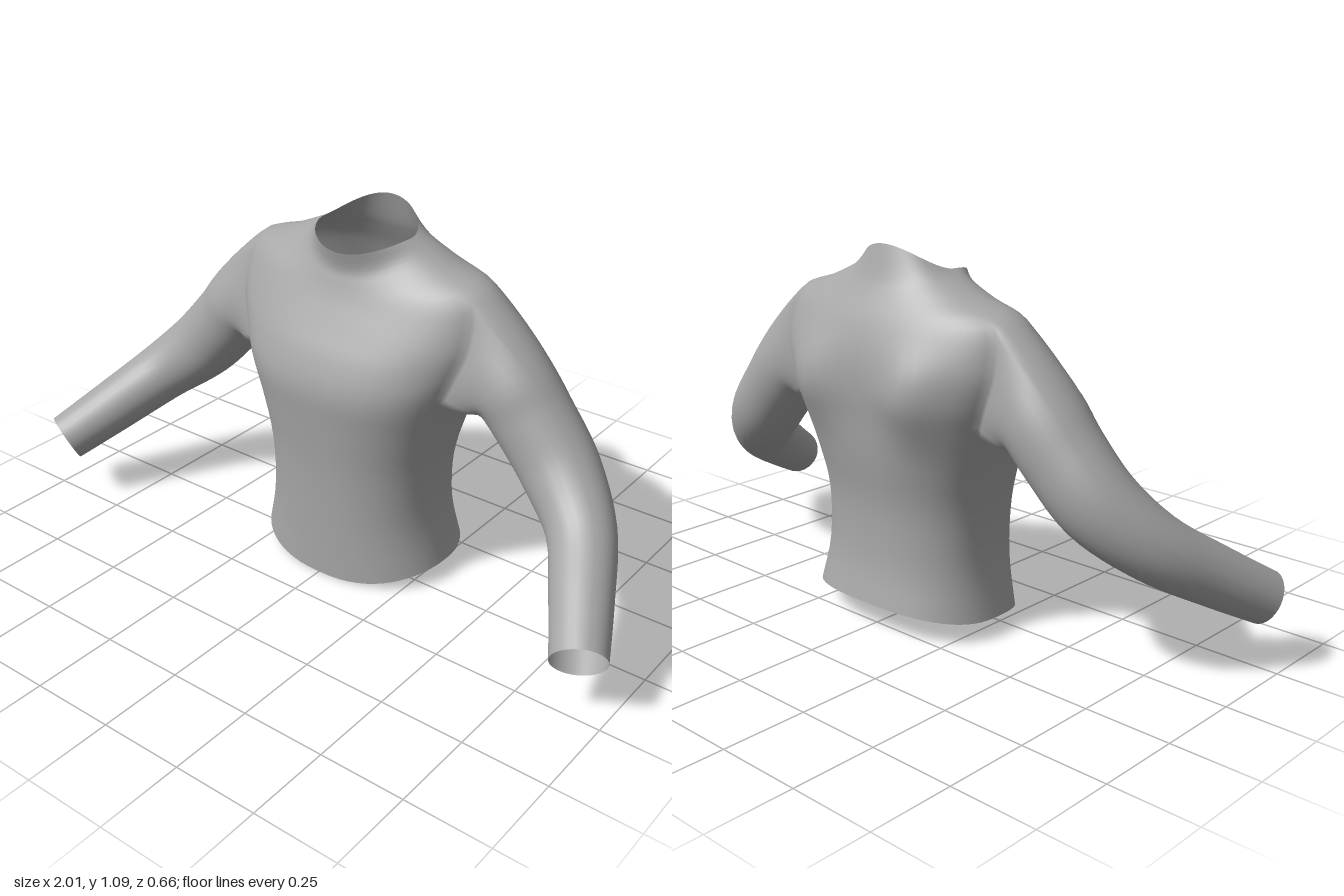
import * as THREE from 'three';

// Torso rings, hem to collar: y front, y side, y back, half width, z front, z side, z back, roundness
const RINGS = [
  [0.0, 0.055, 0.085, 0.305, 0.14, -0.08, -0.31, 0.85],
  [0.18, 0.2, 0.2, 0.276, 0.14, -0.08, -0.285, 0.85],
  [0.36, 0.36, 0.36, 0.28, 0.145, -0.08, -0.28, 0.85],
  [0.5, 0.5, 0.5, 0.312, 0.157, -0.09, -0.3, 0.82],
  [0.61, 0.62, 0.6, 0.352, 0.165, -0.1, -0.315, 0.8],
  [0.7, 0.7, 0.7, 0.385, 0.14, -0.105, -0.33, 0.8],
  [0.78, 0.8, 0.79, 0.415, 0.1, -0.11, -0.322, 0.85],
  [0.85, 0.915, 0.88, 0.4, 0.065, -0.115, -0.292, 1],
  [0.9, 0.962, 0.955, 0.28, 0.045, -0.115, -0.253, 1],
  [0.935, 1.0, 1.0, 0.195, 0.036, -0.11, -0.232, 1],
  [0.985, 1.022, 1.085, 0.15, 0.046, -0.09, -0.205, 1],
];
// Sleeve centre line and radii, armhole to cuff
const ARM = [
  [0.47, 0.68, -0.11, 0.121], [0.55, 0.59, -0.11, 0.115], [0.655, 0.475, -0.09, 0.11],
  [0.77, 0.37, -0.01, 0.094], [0.86, 0.275, 0.135, 0.084], [0.935, 0.195, 0.27, 0.075],
];
const M = 64, STEP = 4, HALF = 4;           // columns, rows per ring, half armhole width in columns
const ROW0 = 4 * STEP, ROW1 = 7 * STEP;     // armhole rows
const SLEEVE_ROWS = 36;

const spline = (a, b, c, d, t) =>
  b + 0.5 * t * (c - a + t * (2 * a - 5 * b + 4 * c - d + t * (3 * (b - c) + d - a)));

function sample(table, f) {
  const n = table.length - 1, i = Math.min(Math.floor(f), n - 1), t = f - i;
  const at = (q) => table[Math.max(0, Math.min(n, q))];
  return table[0].map((_, c) => spline(at(i - 1)[c], at(i)[c], at(i + 1)[c], at(i + 2)[c], t));
}

export function createModel() {
  const group = new THREE.Group();
  group.name = 'longSleeveTop';
  const fabric = new THREE.MeshStandardMaterial({ color: 0xa6a6a6, side: THREE.DoubleSide });
  fabric.name = 'grey fabric';

  const verts = [];
  const add = (x, y, z) => verts.push(new THREE.Vector3(x, y, z)) - 1;
  const quad = (list, a, b, c, d) => list.push(a, b, c, a, c, d);

  // Torso, with a rectangular gap left for each armhole
  const rows = (RINGS.length - 1) * STEP;
  for (let i = 0; i <= rows; i++) {
    const [yF, yS, yB, w, zF, zS, zB, p] = sample(RINGS, i / STEP);
    for (let j = 0; j < M; j++) {
      const a = (j / M) * Math.PI * 2, c = Math.cos(a), s = Math.sin(a), m = Math.abs(s) ** p;
      const x = w * Math.sign(c) * Math.abs(c) ** p;
      const y = yS + ((s > 0 ? yF : yB) - yS) * s * s;
      let z = zS + ((s > 0 ? zF : zB) - zS) * m;
      // Shoulder blades with the spine set in between
      if (s < 0) {
        const band = Math.exp(-(((y - 0.7) / 0.12) ** 2));
        z -= 0.03 * band * Math.exp(-(((Math.abs(x) - 0.19) / 0.08) ** 2));
        z += 0.012 * band * Math.exp(-((x / 0.08) ** 2));
      }
      add(x, y, z);
    }
  }
  const id = (i, j) => i * M + ((j + M) % M);
  const torso = [];
  for (let i = 0; i < rows; i++) for (let j = 0; j < M; j++) {
    const q = (j + M / 2) % M - M / 2;
    const nearSide = (q >= -HALF && q < HALF) || (j >= M / 2 - HALF && j < M / 2 + HALF);
    if (nearSide && i >= ROW0 && i < ROW1) continue;
    quad(torso, id(i, j), id(i + 1, j), id(i + 1, j + 1), id(i, j + 1));
  }

  // Armhole edge as a closed loop of row and column numbers
  const loop = [];
  for (let j = -HALF; j < HALF; j++) loop.push([ROW0, j]);
  for (let i = ROW0; i < ROW1; i++) loop.push([i, HALF]);
  for (let j = HALF; j > -HALF; j--) loop.push([ROW1, j]);
  for (let i = ROW1; i > ROW0; i--) loop.push([i, -HALF]);
  const edge = loop.map(([i, j]) => verts[id(i, j)].clone());
  const centre = edge.reduce((s, p) => s.add(p), new THREE.Vector3()).divideScalar(edge.length);
  const path = [[centre.x, centre.y, centre.z, 0.13], ...ARM];

  // Sleeve rings grow from the armhole edge into round tubes
  const frame = (f) => {
    const end = path.length - 1;
    const point = (g) => new THREE.Vector3(...sample(path, Math.max(0, Math.min(end, g))).slice(0, 3));
    const dir = point(f + 0.2).sub(point(f - 0.2)).normalize();
    const front = new THREE.Vector3(0, 0, 1).addScaledVector(dir, -dir.z).normalize();
    return { at: point(f), front, up: front.clone().cross(dir).normalize(), r: sample(path, f)[3] };
  };
  const start = frame(0);
  const angles = edge.map((p) => {
    const d = p.clone().sub(centre);
    return Math.atan2(d.dot(start.front), d.dot(start.up));
  });
  const sleeve = (side) => {
    const index = [];
    let last = loop.map(([i, j]) => id(i, side > 0 ? j : M / 2 - j));
    for (let n = 1; n <= SLEEVE_ROWS; n++) {
      const f = (n / SLEEVE_ROWS) * (path.length - 1), k = frame(f);
      const blend = THREE.MathUtils.smoothstep(f, 0, 1.4);
      const next = edge.map((p, m) => {
        const tube = k.at.clone()
          .addScaledVector(k.up, k.r * Math.cos(angles[m]))
          .addScaledVector(k.front, k.r * Math.sin(angles[m]));
        const v = p.clone().sub(centre).add(k.at).lerp(tube, blend);
        return add(v.x * side, v.y, v.z);
      });
      next.forEach((d, m) => {
        const o = (m + 1) % next.length;
        if (side > 0) quad(index, last[m], d, next[o], last[o]);
        else quad(index, last[m], last[o], next[o], d);
      });
      last = next;
    }
    return index;
  };
  const parts = { torso, leftSleeve: sleeve(1), rightSleeve: sleeve(-1) };

  // Smooth normals are found on the whole garment, then shared by its parts
  const whole = new THREE.BufferGeometry().setFromPoints(verts);
  whole.setIndex(Object.values(parts).flat());
  whole.computeVertexNormals();
  for (const [name, index] of Object.entries(parts)) {
    const geometry = new THREE.BufferGeometry();
    geometry.setAttribute('position', whole.attributes.position);
    geometry.setAttribute('normal', whole.attributes.normal);
    geometry.setIndex(index);
    const mesh = new THREE.Mesh(geometry, fabric);
    mesh.name = name;
    group.add(mesh);
  }
  return group;
}
